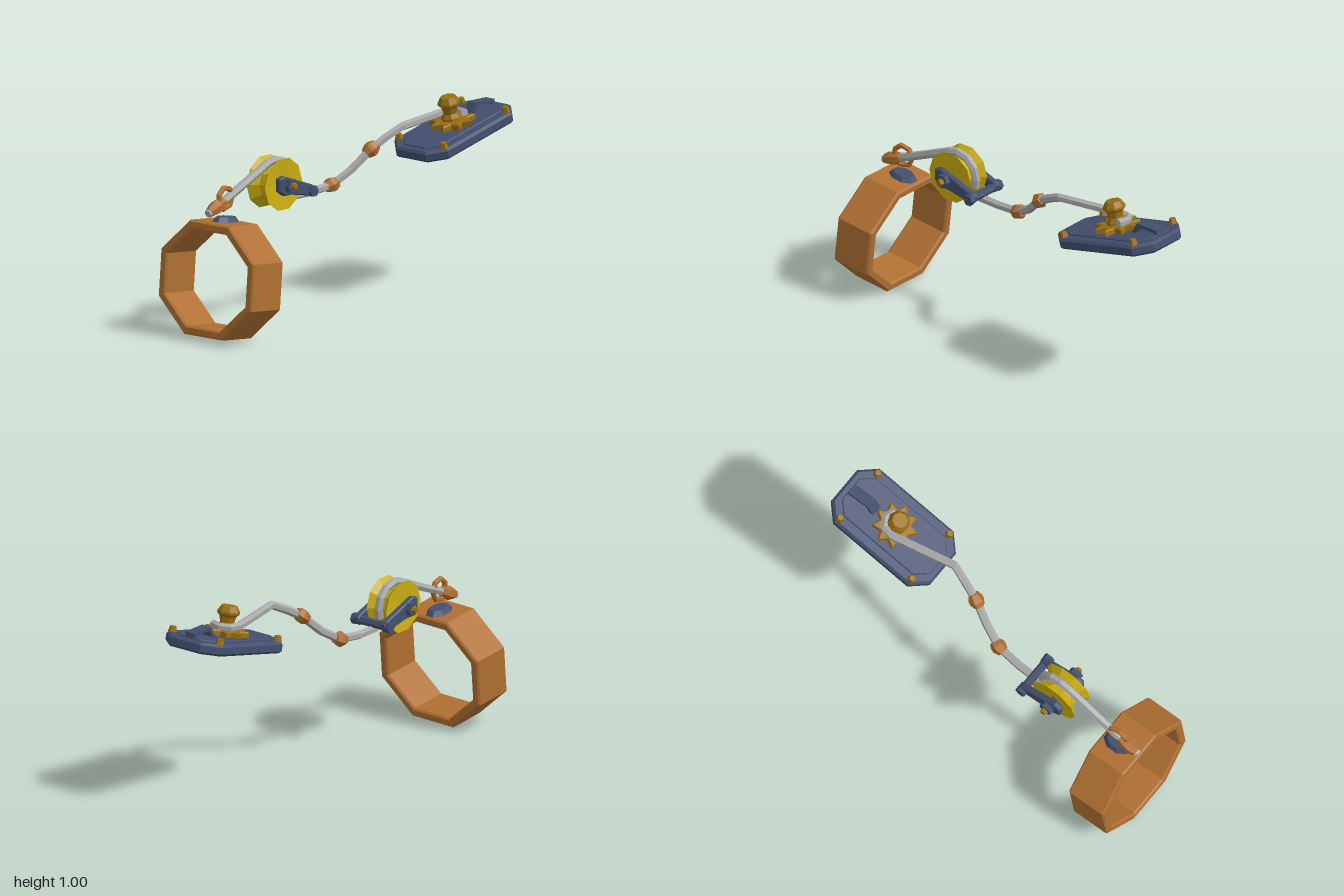
import * as THREE from 'three';

const mat = (name, color, side = THREE.FrontSide) => {
  const m = new THREE.MeshStandardMaterial({ color, side });
  m.name = name;
  return m;
};

export function createModel() {
  const orange = mat('copper orange', 0xb07032);
  const navy = mat('slate blue', 0x424f6e);
  const gold = mat('dark gold', 0x9a7010);
  const yellow = mat('yellow', 0xcdb012);
  const grey = mat('rope grey', 0xa8a8a8, THREE.DoubleSide);
  const model = new THREE.Group();
  model.name = 'pulleyRig';

  // Helpers
  const add = (parent, name, geo, material, x = 0, y = 0, z = 0) => {
    const g = geo.index ? geo.toNonIndexed() : geo;
    g.computeVertexNormals(); // faceted normals
    const mesh = new THREE.Mesh(g, material);
    mesh.name = name;
    mesh.position.set(x, y, z);
    parent.add(mesh);
    return mesh;
  };
  const group = (name, pos, pitch, yaw, roll = 0) => {
    const g = new THREE.Group();
    g.name = name;
    g.position.set(...pos);
    g.rotation.set(pitch, yaw, roll, 'YXZ');
    model.add(g);
    return g;
  };
  const v2 = (pts) => pts.map(([x, y]) => new THREE.Vector2(x, y));
  const octagon = (rx, ry) => v2([...Array(8).keys()].map((i) => {
    const a = (i + 0.5) * Math.PI / 4, k = 1 / Math.cos(Math.PI / 8);
    return [rx * k * Math.cos(a), ry * k * Math.sin(a)];
  }));
  const slab = (shape, depth, bevel = 0) => {
    const g = new THREE.ExtrudeGeometry(shape, {
      depth: depth - 2 * bevel, bevelEnabled: bevel > 0, bevelSegments: 1,
      bevelSize: bevel, bevelThickness: bevel, bevelOffset: -bevel,
    });
    return g.translate(0, 0, bevel - depth / 2);
  };
  const lathe = (pts, sides) => new THREE.LatheGeometry(v2(pts), sides);
  const prismX = (r, len, sides = 6, r2 = r) =>
    new THREE.CylinderGeometry(r, r2, len, sides).rotateZ(-Math.PI / 2);

  // Octagonal cuff
  const cuff = group('cuff', [-0.063, 0.305, 0.865], -0.1, -0.09, 0.015);
  const cuffShape = new THREE.Shape(octagon(0.315, 0.285));
  cuffShape.holes.push(new THREE.Path(octagon(0.268, 0.24)));
  add(cuff, 'cuffRing', slab(cuffShape, 0.22, 0.009), orange);
  const pad = new THREE.CylinderGeometry(0.04, 0.056, 0.026, 8).rotateY(Math.PI / 8);
  add(cuff, 'cuffPad', pad.scale(1, 1, 1.5), navy, -0.01, 0.296, -0.02);

  // Link ring on the cuff pad
  const link = new THREE.TorusGeometry(0.055, 0.014, 6, 7).rotateY(Math.PI / 2);
  add(model, 'linkRing', link, orange, -0.074, 0.703, 0.815);

  // Pulley wheel, fork and axle
  const pulley = group('pulley', [-0.043, 0.725, 0.46], 0, -0.088);
  const wheel = lathe([[0, -0.05], [0.135, -0.062], [0.09, -0.016],
    [0.09, 0.016], [0.135, 0.062], [0, 0.05]], 10).rotateZ(Math.PI / 2);
  add(pulley, 'pulleyWheel', wheel, yellow);
  const armShape = new THREE.Shape(v2([[0.068, 0.04], [0.03, 0.05], [-0.17, -0.022],
    [-0.19, -0.038], [-0.19, -0.06], [-0.17, -0.08], [-0.02, -0.05], [0.03, -0.05], [0.068, -0.022]]));
  for (const s of [-1, 1]) {
    const arm = slab(armShape, 0.034, 0.006).rotateY(-Math.PI / 2);
    add(pulley, 'forkArm', arm, navy, s * 0.085, 0, 0);
    add(pulley, 'axleNut', prismX(0.036, 0.03), navy, s * 0.114, 0, 0);
    const [tip, base] = s > 0 ? [0.014, 0.022] : [0.022, 0.014];
    add(pulley, 'axleCap', prismX(tip, 0.022, 6, base), gold, s * 0.138, 0, 0);
    add(pulley, 'barNut', prismX(0.029, 0.025), navy, s * 0.108, -0.053, -0.165);
  }
  add(pulley, 'axle', prismX(0.016, 0.24), navy);
  add(pulley, 'crossBar', prismX(0.022, 0.22), navy, 0, -0.053, -0.165);

  // Straight-sided six-sided rope through a list of points, with closed ends
  class Polyline extends THREE.Curve {
    constructor(pts) { super(); this.pts = pts.map((p) => new THREE.Vector3(...p)); }
    getUtoTmapping(u) { return u; }
    getPoint(t, target = new THREE.Vector3()) {
      const n = this.pts.length - 1;
      const i = Math.min(Math.floor(t * n + 1e-9), n - 1);
      return target.lerpVectors(this.pts[i], this.pts[i + 1], t * n - i);
    }
  }
  const rope = (name, pts) => {
    const tube = new THREE.TubeGeometry(new Polyline(pts), pts.length - 1, 0.022, 6, false);
    const idx = [...tube.index.array];
    for (const o of [0, (pts.length - 1) * 7]) {
      for (let i = 1; i < 5; i++) {
        idx.push(...(o ? [o, o + i + 1, o + i] : [o, i, i + 1]));
      }
    }
    tube.setIndex(idx);
    add(model, name, tube, grey);
  };
  const onPulley = (deg) => {
    const a = deg * Math.PI / 180, z = 0.116 * Math.sin(a);
    return [-0.043 - 0.088 * z, 0.725 + 0.116 * Math.cos(a), 0.46 + z];
  };
  rope('cuffRope', [[-0.085, 0.642, 0.94], [-0.066, 0.735, 0.72],
    ...[25, 0, -30, -60, -90, -112].map(onPulley)]);
  rope('winchRope', [[-0.03, 0.638, 0.32], [-0.018, 0.636, 0.2], [0.005, 0.65, 0.06],
    [0.05, 0.715, -0.04], [0.1, 0.81, -0.135], [0.13, 0.86, -0.215], [0.165, 0.906, -0.305],
    [0.145, 0.905, -0.48], [0.126, 0.905, -0.65], [0.14, 0.908, -0.705],
    [0.185, 0.912, -0.728], [0.238, 0.914, -0.71]]);

  // Rope ferrules
  const ferrule = (pos, dir, half, r) => {
    const g = lathe([[0, -half], [r * 0.7, -half], [r, -half * 0.25],
      [r, half * 0.25], [r * 0.7, half], [0, half]], 6);
    add(model, 'ferrule', g, orange, ...pos).quaternion.setFromUnitVectors(
      new THREE.Vector3(0, 1, 0), new THREE.Vector3(...dir).normalize());
  };
  ferrule([-0.079, 0.668, 0.878], [0.019, 0.093, -0.22], 0.055, 0.036);
  ferrule([0.005, 0.651, 0.06], [0.06, 0.08, -0.24], 0.035, 0.039);
  ferrule([0.1, 0.81, -0.135], [0.08, 0.145, -0.175], 0.037, 0.039);

  // Tilted anchor plate with raised panel
  const anchor = group('anchor', [0.19, 0.82, -0.685], 0.235, -0.087);
  const plateShape = (w, l, c) => new THREE.Shape(v2([[w, l - c], [w - c, l], [c - w, l], [-w, l - c],
    [-w, c - l], [c - w, -l], [w - c, -l], [w, c - l]]));
  add(anchor, 'plate', slab(plateShape(0.18, 0.32, 0.08), 0.058, 0.012).rotateX(-Math.PI / 2), navy);
  add(anchor, 'platePanel', slab(plateShape(0.128, 0.285, 0.06), 0.016, 0.004).rotateX(-Math.PI / 2),
    navy, 0, 0.029, 0);

  // Corner bolts
  for (const x of [-1, 1]) {
    for (const z of [-1, 1]) {
      add(anchor, 'cornerBolt', new THREE.CylinderGeometry(0.016, 0.023, 0.03, 6), gold,
        x * 0.15, 0.042, z * 0.232);
    }
  }

  // Bent catch at the rear of the plate
  const catchShape = new THREE.Shape(v2([[0.105, 0.025], [0.16, 0.088], [0.285, 0.058],
    [0.285, 0.025], [0.265, 0.025], [0.265, 0.045], [0.168, 0.068], [0.13, 0.025]]));
  add(anchor, 'rearCatch', slab(catchShape, 0.058).rotateY(Math.PI / 2), navy);

  // Toothed base and bollard
  const teeth = new THREE.Shape(v2([...Array(18).keys()].map((i) => {
    const a = i * Math.PI / 9, r = i % 2 ? 0.08 : 0.118;
    return [r * Math.sin(a), r * Math.cos(a)];
  })));
  add(anchor, 'toothedBase', slab(teeth, 0.036, 0.006).rotateX(-Math.PI / 2), gold, 0, 0.05, 0);
  add(anchor, 'bollard', lathe([[0, 0.06], [0.056, 0.06], [0.052, 0.08], [0.036, 0.1], [0.042, 0.13],
    [0.057, 0.145], [0.057, 0.157], [0.04, 0.185], [0, 0.185]], 8), gold);

  return model;
}
